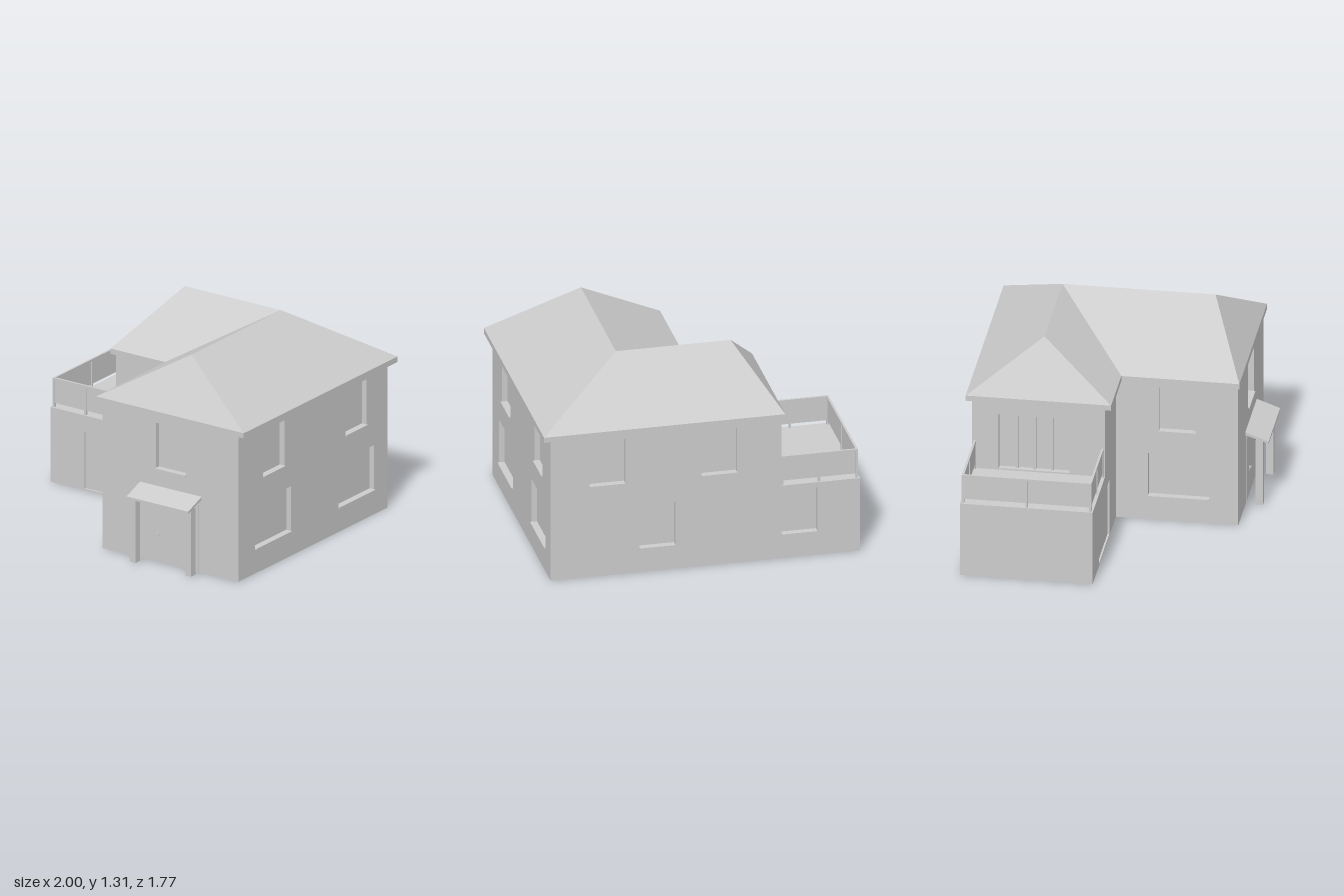
import * as THREE from 'three';

const mat = new THREE.MeshStandardMaterial({ color: 0xcccccc, flatShading: true, side: THREE.DoubleSide });
const DEPTH = 0.035; // wall thickness, and depth of the window reveals

function add(parent, name, geometry) {
  const mesh = new THREE.Mesh(geometry, mat);
  mesh.name = name;
  parent.add(mesh);
  return mesh;
}

// Box given by its minimum and maximum corners
function box(parent, name, [x0, y0, z0], [x1, y1, z1]) {
  const g = new THREE.BoxGeometry(x1 - x0, y1 - y0, z1 - z0);
  g.translate((x0 + x1) / 2, (y0 + y1) / 2, (z0 + z1) / 2);
  return add(parent, name, g);
}

const shapeOf = (pts) => new THREE.Shape(pts.map(([x, y]) => new THREE.Vector2(x, y)));
const rect = (a, b, lo, hi) => [[a, lo], [b, lo], [b, hi], [a, hi]];

// Horizontal slab from a plan outline of [x, z] points
function slab(parent, name, plan, y0, y1) {
  const g = new THREE.ExtrudeGeometry(shapeOf(plan.map(([x, z]) => [x, -z])), { depth: y1 - y0, bevelEnabled: false });
  g.rotateX(-Math.PI / 2).translate(0, y0, 0);
  return add(parent, name, g);
}

// Wall with openings: outer face at local z = 0, local x runs along the wall
function wall(parent, name, outline, openings, position, turn) {
  const group = new THREE.Group();
  group.name = name;
  group.position.set(...position);
  group.rotation.y = turn;
  parent.add(group);
  const shape = shapeOf(outline);
  for (const { a, b, lo, hi, inset = DEPTH, sill = true, label = 'windowPane' } of openings) {
    shape.holes.push(shapeOf(rect(a, b, lo, hi)));
    box(group, label, [a, lo, -inset - 0.01], [b, hi, -inset]);
    if (sill) box(group, 'windowSill', [a, lo, -inset], [b, lo + 0.008, 0.01]);
  }
  const g = new THREE.ExtrudeGeometry(shape, { depth: DEPTH, bevelEnabled: false });
  add(group, name + 'Panel', g.translate(0, 0, -DEPTH));
  return group;
}

export function createModel() {
  const house = new THREE.Group();
  house.name = 'house';
  const TOP = 0.96, DECK = 0.49;
  const upper = (a, b) => ({ a, b, lo: 0.605, hi: 0.91 });
  const lower = (a, b) => ({ a, b, lo: 0.155, hi: 0.455 });

  // Walls
  wall(house, 'frontWall', rect(-0.07, 0.95, 0, TOP), [upper(0.33, 0.555)], [0, 0, 0.74], 0);
  wall(house, 'rightHandWall', rect(-0.74, 0.845, 0, TOP),
    [upper(-0.475, -0.25), upper(0.4, 0.625), lower(-0.56, -0.18), lower(0.325, 0.705)],
    [0.95, 0, 0], Math.PI / 2);
  wall(house, 'wingSideWall', rect(-0.02, 0.74, 0, TOP),
    [upper(0.25, 0.475), lower(0.18, 0.56)], [-0.07, 0, 0], -Math.PI / 2);
  wall(house, 'backWall',
    [[-0.95, 0], [1, 0], [1, DECK], [0.505, DECK], [0.505, TOP], [-0.95, TOP]],
    [upper(-0.705, -0.48), upper(0, 0.225), lower(-0.39, -0.165), lower(0.505, 0.73)],
    [0, 0, -0.845], Math.PI);
  wall(house, 'garageFrontWall',
    [[-1, 0], [-0.07, 0], [-0.07, TOP], [-0.505, TOP], [-0.505, DECK], [-1, DECK]],
    [{ a: -0.745, b: -0.33, lo: 0.008, hi: 0.383, inset: 0.012, sill: false, label: 'garageDoor' }],
    [0, 0, -0.02], 0);
  wall(house, 'garageSideWall', rect(-0.845, -0.02, 0, DECK), [], [-1, 0, 0], -Math.PI / 2);
  const terraceWall = wall(house, 'terraceWall', rect(-0.845, -0.02, DECK - 0.02, TOP),
    [{ a: -0.68, b: -0.24, lo: DECK + 0.01, hi: 0.87, sill: false, label: 'terraceDoorPane' }],
    [-0.505, 0, 0], -Math.PI / 2);
  for (let i = 1; i < 4; i++) {
    const u = -0.68 + 0.11 * i;
    box(terraceWall, 'terraceDoorMullion', [u - 0.008, DECK + 0.01, -DEPTH], [u + 0.008, 0.87, -0.018]);
  }

  // Floor and terrace deck
  slab(house, 'floor', [[-1, -0.845], [0.95, -0.845], [0.95, 0.74], [-0.07, 0.74], [-0.07, -0.02], [-1, -0.02]], 0, 0.01);
  box(house, 'terraceDeck', [-0.995, DECK - 0.02, -0.84], [-0.5, DECK, -0.025]);

  // Hipped roof over the L-shaped plan
  const E = 0.99, R = 1.313;
  const plan = [[-0.52, -0.883], [1, -0.883], [1, 0.753], [-0.11, 0.753], [-0.11, 0.02], [-0.52, 0.02]];
  slab(house, 'roofFascia', plan, 0.955, E);
  const p = [...plan.map(([x, z]) => [x, E, z]), [-0.28, R, -0.43], [0.443, R, -0.43], [0.443, R, 0.52]];
  const slopes = [[0, 6, 7, 1], [0, 5, 6], [5, 4, 7, 6], [4, 3, 8, 7], [3, 2, 8], [2, 1, 7, 8]];
  const verts = [];
  for (const s of slopes)
    for (let i = 1; i < s.length - 1; i++) verts.push(...p[s[0]], ...p[s[i]], ...p[s[i + 1]]);
  const roof = new THREE.BufferGeometry();
  roof.setAttribute('position', new THREE.Float32BufferAttribute(verts, 3));
  roof.computeVertexNormals();
  add(house, 'roofSlopes', roof);

  // Porch with a lean-to roof on two posts
  const porch = new THREE.Group();
  porch.name = 'porch';
  house.add(porch);
  const lean = new THREE.ExtrudeGeometry(
    shapeOf([[0.735, 0.48], [0.885, 0.43], [0.885, 0.445], [0.735, 0.5]]), { depth: 0.463, bevelEnabled: false });
  add(porch, 'porchRoof', lean.rotateY(-Math.PI / 2).translate(0.675, 0, 0));
  for (const x of [0.212, 0.63]) box(porch, 'porchPost', [x, 0.008, 0.805], [x + 0.044, 0.45, 0.85]);

  // Front door and handle
  box(house, 'frontDoor', [0.24, 0.008, 0.73], [0.65, 0.44, 0.743]);
  box(house, 'doorHandlePlate', [0.343, 0.17, 0.742], [0.351, 0.2, 0.747]);
  box(house, 'doorHandle', [0.343, 0.188, 0.75], [0.366, 0.194, 0.756]);
  box(house, 'doorHandleStem', [0.344, 0.188, 0.745], [0.35, 0.194, 0.752]);

  // Terrace railing: posts, top rails and panels on three sides
  const rail = new THREE.Group();
  rail.name = 'terraceRailing';
  house.add(rail);
  const X = [-0.982, -0.745, -0.512], Z = [-0.828, -0.432, -0.036], h = 0.007, t = 0.002;
  const post = (x, z) => box(rail, 'railingPost', [x - h, DECK, z - h], [x + h, 0.675, z + h]);
  for (const z of [Z[0], Z[2]]) {
    X.forEach((x) => post(x, z));
    box(rail, 'topRail', [X[0] - h, 0.67, z - h], [-0.505, 0.682, z + h]);
    for (let i = 0; i < 2; i++)
      box(rail, 'railingPanel', [X[i] + h, 0.517, z - t], [X[i + 1] - h, 0.67, z + t]);
  }
  post(X[0], Z[1]);
  box(rail, 'topRail', [X[0] - h, 0.67, Z[0]], [X[0] + h, 0.682, Z[2]]);
  for (let i = 0; i < 2; i++)
    box(rail, 'railingPanel', [X[0] - t, 0.517, Z[i] + h], [X[0] + t, 0.67, Z[i + 1] - h]);

  return house;
}
